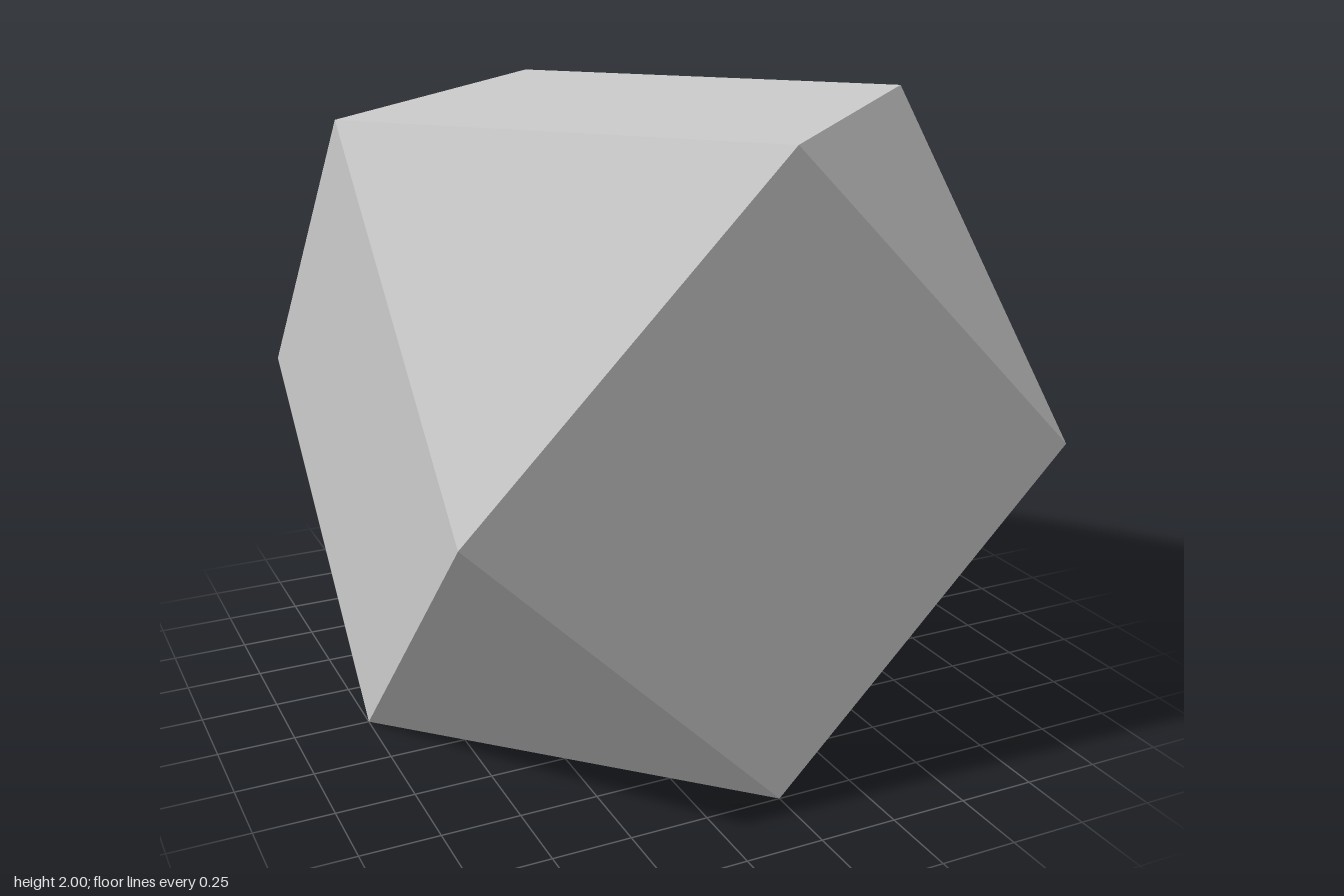
import * as THREE from 'three';
import { ConvexGeometry } from 'three/addons/geometries/ConvexGeometry.js';

// Cuboctahedron: 6 square and 8 triangular flat faces
export function createModel() {
  const group = new THREE.Group();
  group.name = 'cuboctahedron';

  const lightGrey = new THREE.MeshStandardMaterial({ color: 0xcccccc });
  lightGrey.name = 'lightGrey';

  // Corners sit at the edge midpoints of a cube of side 2
  const corners = [];
  for (const a of [-1, 1]) {
    for (const b of [-1, 1]) {
      corners.push(
        new THREE.Vector3(a, b, 0),
        new THREE.Vector3(0, a, b),
        new THREE.Vector3(b, 0, a)
      );
    }
  }

  // The hull has one flat normal per face
  const solid = new THREE.Mesh(new ConvexGeometry(corners), lightGrey);
  solid.name = 'solid';
  solid.position.y = 1;
  group.add(solid);
  return group;
}
